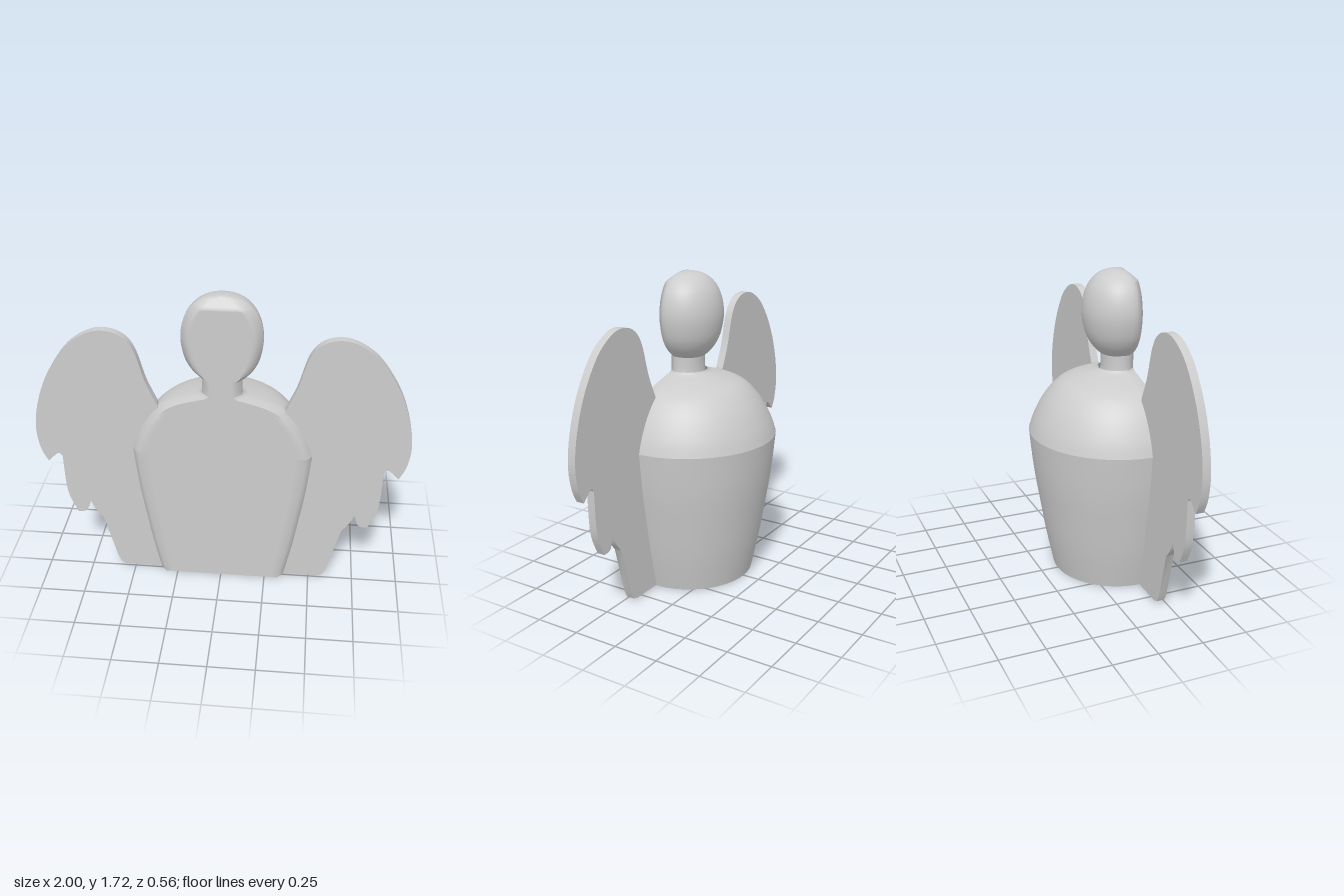
import * as THREE from 'three';
import { toCreasedNormals } from 'three/addons/utils/BufferGeometryUtils.js';

const grey = new THREE.MeshStandardMaterial({ color: 0xcccccc, side: THREE.DoubleSide });
grey.name = 'light grey';

const AXIS_Z = 0.21, FRONT_Z = 0.28, BEVEL = 0.045;

// Half-round cross-section: arc behind, bevelled flat panel in front
function section(y, r, depth) {
  const pts = [], n = 40;
  for (let i = 0; i <= n; i++) {
    const a = (Math.PI * i) / n;
    pts.push([r * Math.cos(a), y, AXIS_Z - r * depth * Math.sin(a)]);
  }
  const zf = FRONT_Z - Math.max(0, y - 1.67) * 0.9; // the crown slopes back
  const zs = Math.min(FRONT_Z - BEVEL, zf), w = Math.max(0, r - 0.04);
  pts.push([-r, y, zs], [-w, y, zf]);
  for (const k of [-0.88, 0, 0.88]) pts.push([k * w, y, zf]);
  pts.push([w, y, zf], [r, y, zs]);
  return pts;
}

// Skin a stack of [y, radius] rows, smoothed through a spline
function loft(name, profile, depth, steps) {
  const curve = new THREE.SplineCurve(profile.map(([y, r]) => new THREE.Vector2(r, y)));
  const rows = curve.getPoints(steps).map((p) => section(p.y, Math.max(0, p.x), depth));
  const n = rows[0].length, pos = [], idx = [];
  rows.forEach((row) => row.forEach((p) => pos.push(...p)));
  for (let i = 0; i < rows.length - 1; i++) {
    for (let j = 0; j < n; j++) {
      const a = i * n + j, b = i * n + ((j + 1) % n);
      idx.push(a, b, a + n, b, b + n, a + n);
    }
  }
  const geo = new THREE.BufferGeometry();
  geo.setAttribute('position', new THREE.Float32BufferAttribute(pos, 3));
  geo.setIndex(idx);
  const mesh = new THREE.Mesh(toCreasedNormals(geo, 1.0), grey);
  mesh.name = name;
  mesh.position.x = 0.005;
  return mesh;
}

// Wing outline: feather tips up the outside, then over the rounded top
function wing(side) {
  const v = (list) => list.map(([x, y]) => new THREE.Vector2(x * side, y));
  const s = new THREE.Shape();
  s.moveTo(0.335 * side, 0.005);
  for (const p of v([[0.55, 0.005], [0.58, 0.017], [0.6, 0.06], [0.67, 0.337]])) s.lineTo(p.x, p.y);
  s.splineThru(v([[0.71, 0.39], [0.735, 0.447]]));
  s.lineTo(0.757 * side, 0.385);
  s.splineThru(v([[0.775, 0.373], [0.81, 0.37]]));
  s.splineThru(v([[0.85, 0.465], [0.865, 0.56], [0.87, 0.74]]));
  s.splineThru(v([[0.885, 0.758], [0.905, 0.75], [0.95, 0.705]]));
  s.splineThru(v([[0.985, 0.785], [1, 0.91], [0.975, 1.07], [0.91, 1.245], [0.805, 1.405],
    [0.7, 1.487], [0.605, 1.513], [0.51, 1.487], [0.445, 1.405], [0.393, 1.23], [0.335, 1.095]]));
  s.closePath();
  const geo = new THREE.ExtrudeGeometry(s, { depth: 0.045, bevelEnabled: false, curveSegments: 5 });
  const mesh = new THREE.Mesh(toCreasedNormals(geo, 0.5), grey);
  mesh.name = side > 0 ? 'leftWing' : 'rightWing';
  mesh.position.z = 0.2;
  return mesh;
}

export function createModel() {
  const group = new THREE.Group();
  group.name = 'wingedFigure';
  group.add(
    // Robe, open at the bottom
    loft('robe', [[0, 0.36], [0.2, 0.402], [0.4, 0.436], [0.6, 0.467], [0.82, 0.49]], 1, 16),
    loft('shoulders', [[0.82, 0.49], [0.9, 0.463], [1, 0.41], [1.08, 0.342], [1.12, 0.275],
      [1.15, 0.18], [1.165, 0.125], [1.18, 0.105]], 1, 28),
    loft('neck', [[1.165, 0.108], [1.2, 0.104], [1.28, 0.104]], 0.82, 4),
    loft('head', [[1.26, 0.1], [1.28, 0.125], [1.32, 0.16], [1.38, 0.19], [1.47, 0.208], [1.55, 0.203],
      [1.62, 0.18], [1.67, 0.143], [1.7, 0.1], [1.715, 0.05], [1.72, 0]], 0.92, 40),
    wing(1),
    wing(-1),
  );
  return group;
}
